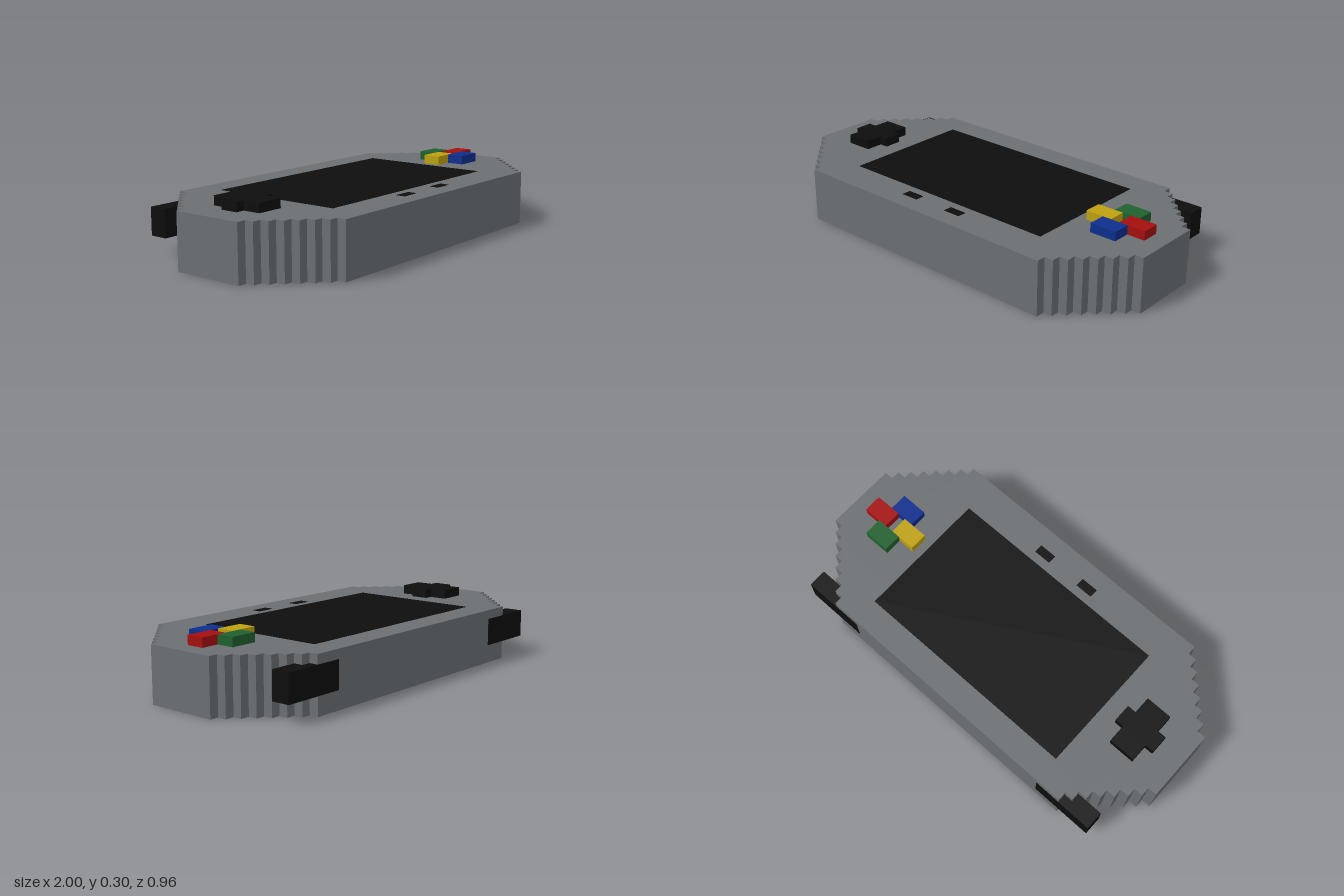
import * as THREE from 'three';

const U = 2 / 46; // one grid cell
const mat = (name, color) => {
  const m = new THREE.MeshStandardMaterial({ color });
  m.name = name;
  return m;
};

export function createModel() {
  const grey = mat('case grey', 0x6b6f72);
  const black = mat('black', 0x0d0d0d);
  const red = mat('red', 0xa50f0f);
  const blue = mat('blue', 0x0c2e8e);
  const green = mat('green', 0x20602e);
  const yellow = mat('yellow', 0xbda010);

  const root = new THREE.Group();
  root.name = 'handheldConsole';

  // Box from its limits in grid cells
  const box = (name, material, [x0, x1], [y0, y1], [z0, z1], parent = root) => {
    const mesh = new THREE.Mesh(new THREE.BoxGeometry((x1 - x0) * U, (y1 - y0) * U, (z1 - z0) * U), material);
    mesh.position.set((x0 + x1) * U / 2, (y0 + y1) * U / 2, (z0 + z1) * U / 2);
    mesh.name = name;
    parent.add(mesh);
    return mesh;
  };

  // Upright extrusion of an outline in grid cells (x, -z)
  const slab = (name, material, points, y0, height) => {
    const shape = new THREE.Shape(points.map(([x, y]) => new THREE.Vector2(x * U, y * U)));
    const geo = new THREE.ExtrudeGeometry(shape, { depth: height * U, bevelEnabled: false });
    geo.rotateX(-Math.PI / 2);
    const mesh = new THREE.Mesh(geo, material);
    mesh.position.y = y0 * U;
    mesh.name = name;
    root.add(mesh);
    return mesh;
  };

  // Case with stair-stepped corners
  const corner = [];
  for (let i = 0; i <= 7; i++) {
    corner.push([23 - i, 4 + i]);
    if (i < 7) corner.push([22 - i, 4 + i]);
  }
  const flip = (pts, sx, sy) => pts.map(([x, y]) => [x * sx, y * sy]);
  const outline = [
    ...corner,
    ...flip(corner, -1, 1).reverse(),
    ...flip(corner, -1, -1),
    ...flip(corner, 1, -1).reverse(),
  ];
  slab('case', grey, outline, 0, 6);

  // Screen and small menu buttons, nearly flush with the top
  const flush = [5.95, 6.04];
  box('screen', black, [-13, 13], flush, [-8, 7]);
  for (const side of [-1, 1]) {
    box('menuButton', black, [side * 3 - 1, side * 3 + 1], flush, [8, 9]);
  }

  // Direction pad
  const cross = [[-20, -1], [-19, -1], [-19, -3], [-16, -3], [-16, -1], [-15, -1],
    [-15, 1], [-16, 1], [-16, 3], [-19, 3], [-19, 1], [-20, 1]];
  slab('directionPad', black, cross, 6, 1);

  // Action buttons
  const buttons = new THREE.Group();
  buttons.name = 'actionButtons';
  root.add(buttons);
  box('yellowButton', yellow, [14, 17], [6, 7], [-1, 1], buttons);
  box('redButton', red, [18, 21], [6, 7], [-1, 1], buttons);
  box('greenButton', green, [16, 19], [6, 7], [-3, -1], buttons);
  box('blueButton', blue, [16, 19], [6, 7], [1, 3], buttons);

  // Shoulder buttons wrapping the back corners
  for (const side of [-1, 1]) {
    const xs = side > 0 ? [13, 20] : [-20, -13];
    box('shoulderButton', black, xs, [2, 5], [-11.04, -9]);
  }
  return root;
}
